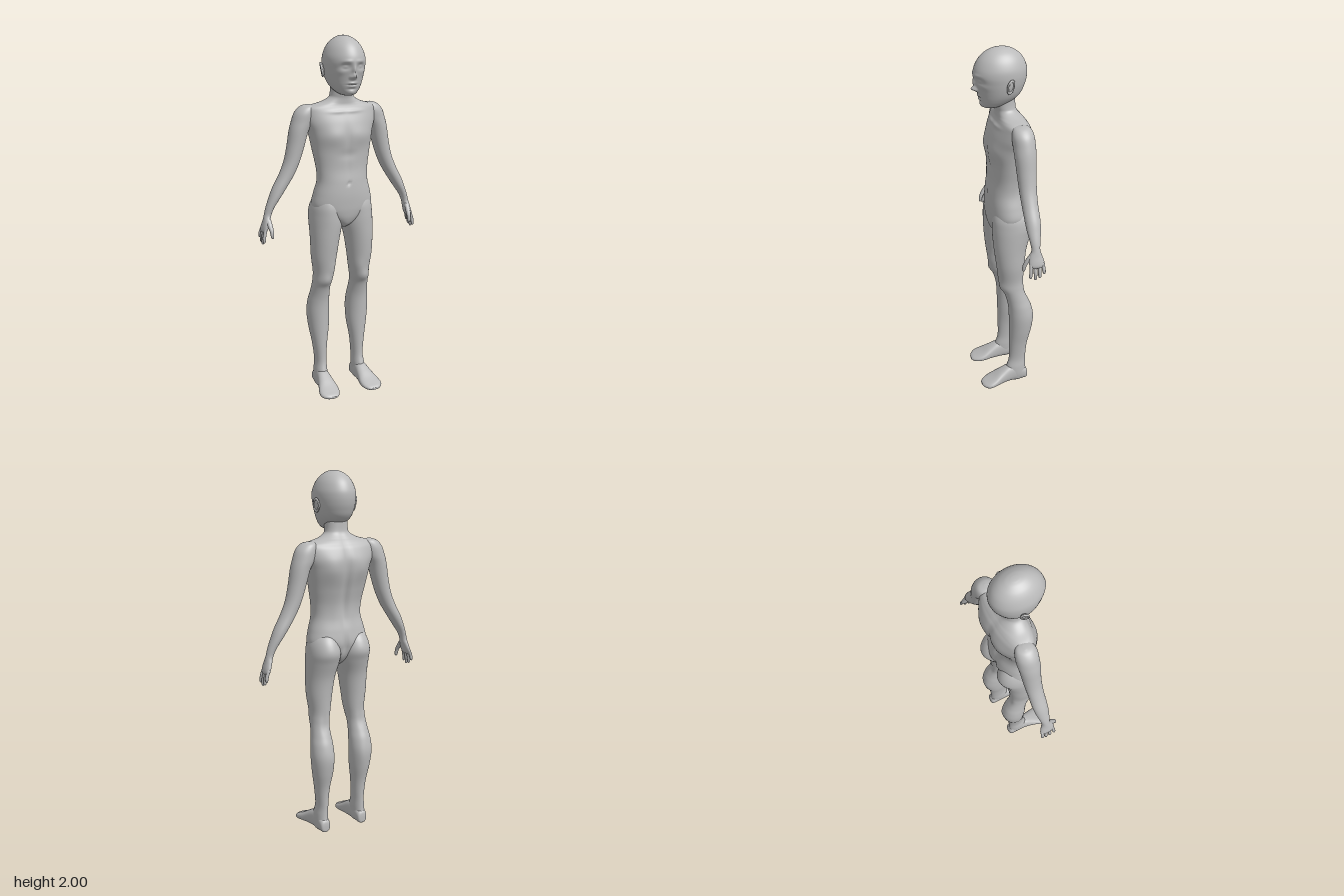
import * as THREE from 'three';

const skin = new THREE.MeshStandardMaterial({ color: 0xbababa });
skin.name = 'plain grey skin';

// Smooth curve through four values
function spline(a, b, c, d, t) {
  return 0.5 * (2 * b + (c - a) * t + (2 * a - 5 * b + 4 * c - d) * t * t + (3 * b - a - 3 * c + d) * t * t * t);
}

// Closed skin over level cross-sections, each row [y, xMin, xMax, zBack, zFront].
// Bumps [side, |x|, y, xSpread, ySpread, height] push the front (1) or back (-1) in or out.
function loft(rows, { n = 40, steps = 6, power = 2, bumps = [] } = {}) {
  rows = [...rows].sort((p, q) => p[0] - q[0]);
  const at = (i) => rows[Math.min(rows.length - 1, Math.max(0, i))];
  const rings = [];
  for (let i = 0; i < rows.length - 1; i++) {
    for (let k = 0; k < steps; k++) {
      rings.push(rows[i].map((_, c) => spline(at(i - 1)[c], at(i)[c], at(i + 1)[c], at(i + 2)[c], k / steps)));
    }
  }
  rings.push(at(rows.length));
  const pos = [], idx = [];
  const round = (v) => Math.sign(v) * Math.abs(v) ** (2 / power);
  for (const [y, x0, x1, z0, z1] of rings) {
    for (let j = 0; j < n; j++) {
      const a = (j / n) * Math.PI * 2, s = Math.sin(a);
      const x = (x0 + x1) / 2 + ((x1 - x0) / 2) * round(Math.cos(a));
      let z = (z0 + z1) / 2 + ((z1 - z0) / 2) * round(s);
      for (const [side, bx, by, sx, sy, h] of bumps) {
        if (s * side <= 0) continue;
        const g = ((Math.abs(x) - bx) / sx) ** 2 + ((y - by) / sy) ** 2;
        z += side * h * Math.exp(-g) * Math.min(1, Math.abs(s) * 2);
      }
      pos.push(x, y, z);
    }
  }
  for (let i = 0; i < rings.length - 1; i++) {
    for (let j = 0; j < n; j++) {
      const a = i * n + j, c = i * n + ((j + 1) % n);
      idx.push(a, a + n, c, a + n, c + n, c);
    }
  }
  // End caps
  for (const [ring, up] of [[0, false], [rings.length - 1, true]]) {
    const [y, x0, x1, z0, z1] = rings[ring], hub = pos.length / 3, o = ring * n;
    pos.push((x0 + x1) / 2, y, (z0 + z1) / 2);
    for (let j = 0; j < n; j++) {
      const a = o + j, b = o + ((j + 1) % n);
      if (up) idx.push(hub, b, a); else idx.push(hub, a, b);
    }
  }
  const g = new THREE.BufferGeometry();
  g.setAttribute('position', new THREE.Float32BufferAttribute(pos, 3));
  g.setIndex(idx);
  g.computeVertexNormals();
  return g;
}

const sym = (rows) => rows.map(([y, w, zb, zf]) => [y, -w, w, zb, zf]);
const flip = (rows, s) => (s > 0 ? rows : rows.map(([y, a, b, zb, zf]) => [y, -b, -a, zb, zf]));
const rod = (pts) => pts.map(([y, x, z, r]) => [y, x - r, x + r, z - r, z + r]);

// Half-width, back and front at each height
const TORSO = sym([
  [0.965, 0.012, -0.06, 0.02], [0.985, 0.04, -0.085, 0.055], [1.02, 0.1, -0.11, 0.073],
  [1.06, 0.155, -0.125, 0.081], [1.1, 0.174, -0.132, 0.084], [1.16, 0.163, -0.123, 0.085],
  [1.23, 0.145, -0.107, 0.08], [1.3, 0.148, -0.106, 0.071], [1.38, 0.162, -0.125, 0.072],
  [1.45, 0.174, -0.145, 0.077], [1.5, 0.184, -0.153, 0.075], [1.55, 0.2, -0.152, 0.065],
  [1.6, 0.206, -0.135, 0.046], [1.625, 0.2, -0.118, 0.035], [1.64, 0.165, -0.106, 0.03],
  [1.653, 0.115, -0.094, 0.029], [1.675, 0.074, -0.078, 0.03], [1.7, 0.064, -0.072, 0.035],
  [1.76, 0.062, -0.07, 0.04],
]);
const TORSO_BUMPS = [
  [1, 0.085, 1.475, 0.07, 0.045, 0.009], [1, 0, 1.46, 0.014, 0.08, -0.004],
  [1, 0, 1.22, 0.007, 0.009, -0.01], [1, 0, 1.31, 0.01, 0.09, -0.003],
  [1, 0.04, 1.605, 0.05, 0.009, 0.005], [1, 0, 1.375, 0.05, 0.025, -0.005],
  [-1, 0, 1.4, 0.018, 0.2, -0.014], [-1, 0.09, 1.5, 0.05, 0.06, 0.009],
  [-1, 0.045, 1.27, 0.03, 0.1, 0.004], [-1, 0, 1.08, 0.014, 0.05, -0.012],
];

const HEAD = sym([
  [1.692, 0.02, 0.04, 0.085], [1.7, 0.042, 0.0, 0.102], [1.72, 0.066, -0.045, 0.111],
  [1.745, 0.083, -0.082, 0.118], [1.77, 0.094, -0.104, 0.123], [1.8, 0.102, -0.118, 0.13],
  [1.83, 0.107, -0.128, 0.138], [1.865, 0.11, -0.133, 0.146], [1.9, 0.106, -0.13, 0.141],
  [1.94, 0.09, -0.113, 0.121], [1.97, 0.067, -0.086, 0.092], [1.99, 0.039, -0.053, 0.058],
  [1.998, 0.018, -0.025, 0.027], [2, 0.004, -0.006, 0.006],
]);
const HEAD_BUMPS = [
  [1, 0, 1.795, 0.012, 0.013, 0.028], [1, 0, 1.825, 0.01, 0.025, 0.013],
  [1, 0.014, 1.79, 0.007, 0.008, 0.01],
  [1, 0.042, 1.845, 0.022, 0.015, -0.014], [1, 0.042, 1.843, 0.014, 0.008, 0.009],
  [1, 0.042, 1.842, 0.014, 0.002, -0.002], [1, 0.035, 1.871, 0.025, 0.009, 0.004],
  [1, 0, 1.76, 0.022, 0.006, 0.006], [1, 0, 1.742, 0.019, 0.006, 0.005],
  [1, 0, 1.751, 0.025, 0.003, -0.005], [1, 0, 1.728, 0.025, 0.006, -0.004],
  [1, 0, 1.71, 0.022, 0.012, 0.005], [1, 0.065, 1.815, 0.02, 0.015, 0.003],
];

const LEG = [
  [1.15, 0.055, 0.12, -0.09, 0.03], [1.13, 0.025, 0.155, -0.118, 0.06],
  [1.09, 0.009, 0.174, -0.144, 0.074], [1.04, 0.003, 0.182, -0.156, 0.077],
  [0.985, 0.004, 0.184, -0.138, 0.076], [0.9, 0.022, 0.183, -0.112, 0.07],
  [0.8, 0.038, 0.18, -0.1, 0.058], [0.71, 0.051, 0.168, -0.095, 0.044],
  [0.66, 0.06, 0.168, -0.098, 0.036], [0.62, 0.065, 0.17, -0.104, 0.016],
  [0.57, 0.064, 0.175, -0.122, 0.001], [0.52, 0.06, 0.183, -0.141, -0.008],
  [0.45, 0.058, 0.187, -0.153, -0.012], [0.36, 0.062, 0.178, -0.143, -0.014],
  [0.26, 0.077, 0.161, -0.121, -0.015], [0.16, 0.085, 0.15, -0.113, -0.014],
  [0.1, 0.084, 0.156, -0.113, 0.002], [0.05, 0.087, 0.157, -0.116, 0.01],
  [0.01, 0.095, 0.15, -0.11, 0],
];
const LEG_BUMPS = [
  [1, 0.115, 0.67, 0.028, 0.035, 0.006], [1, 0.08, 0.73, 0.025, 0.04, 0.005],
  [-1, 0.115, 0.64, 0.02, 0.06, -0.006], [-1, 0.09, 0.44, 0.025, 0.07, 0.005],
];

// Foot sections from heel to toe: z, xMin, xMax, -top, -sole
const FOOT = [
  [-0.123, 0.108, 0.135, -0.045, -0.014], [-0.113, 0.092, 0.15, -0.075, -0.002],
  [-0.06, 0.086, 0.156, -0.11, 0], [-0.01, 0.083, 0.161, -0.108, 0],
  [0.04, 0.077, 0.173, -0.083, 0], [0.085, 0.071, 0.188, -0.056, 0],
  [0.12, 0.077, 0.19, -0.039, 0], [0.145, 0.093, 0.172, -0.028, -0.002],
  [0.158, 0.11, 0.145, -0.019, -0.008],
];

const ARM = [
  [1.642, 0.17, 0.195, -0.062, -0.048], [1.632, 0.145, 0.225, -0.095, -0.012],
  [1.6, 0.14, 0.257, -0.11, 0.002], [1.55, 0.155, 0.276, -0.114, 0.002],
  [1.5, 0.183, 0.289, -0.112, 0], [1.42, 0.207, 0.303, -0.107, -0.006],
  [1.34, 0.234, 0.322, -0.103, -0.011], [1.27, 0.267, 0.352, -0.1, -0.015],
  [1.2, 0.313, 0.39, -0.1, -0.018], [1.15, 0.348, 0.411, -0.095, -0.022],
  [1.1, 0.383, 0.43, -0.085, -0.03], [1.06, 0.401, 0.441, -0.08, -0.034],
  [1.03, 0.41, 0.448, -0.088, -0.022], [1.0, 0.42, 0.456, -0.097, -0.016],
  [0.98, 0.428, 0.459, -0.098, -0.018], [0.968, 0.437, 0.455, -0.09, -0.028],
];
// Finger: z at knuckle, z at tip, tip height
const FINGERS = [[-0.027, -0.02, 0.913], [-0.048, -0.046, 0.902], [-0.069, -0.07, 0.91], [-0.089, -0.093, 0.93]];

export function createModel() {
  const model = new THREE.Group();
  model.name = 'standingFigure';
  const add = (name, geometry, parent = model) => {
    const mesh = new THREE.Mesh(geometry, skin);
    mesh.name = name;
    parent.add(mesh);
    return mesh;
  };

  add('torsoAndNeck', loft(TORSO, { n: 96, steps: 8, power: 2.2, bumps: TORSO_BUMPS }));
  add('head', loft(HEAD, { n: 144, steps: 10, bumps: HEAD_BUMPS }));

  for (const s of [1, -1]) {
    const side = s > 0 ? 'left' : 'right';
    add(side + 'Leg', loft(flip(LEG, s), { n: 56, bumps: LEG_BUMPS }));
    add(side + 'Foot', loft(flip(FOOT, s), { n: 40, power: 2.4 }).rotateX(Math.PI / 2));
    add(side + 'Arm', loft(flip(ARM, s), { n: 44 }));

    // Hand digits
    const digits = new THREE.Group();
    digits.name = side + 'Fingers';
    model.add(digits);
    FINGERS.forEach(([z0, z1, tip], i) => {
      const mid = (0.99 + tip) / 2;
      const pts = [
        [0.995, 0.441, z0, 0.009], [mid, 0.453, (z0 + z1) / 2, 0.0095],
        [tip + 0.012, 0.456, z1, 0.008], [tip + 0.003, 0.456, z1, 0.005], [tip, 0.456, z1, 0.001],
      ];
      add('finger' + (i + 1), loft(flip(rod(pts), s), { n: 14, steps: 4 }), digits);
    });
    const thumb = [
      [1.045, 0.423, -0.042, 0.012], [1.01, 0.422, -0.019, 0.014], [0.98, 0.419, -0.001, 0.011],
      [0.955, 0.418, 0.005, 0.009], [0.945, 0.418, 0.006, 0.006], [0.941, 0.418, 0.006, 0.001],
    ];
    add('thumb', loft(flip(rod(thumb), s), { n: 16, steps: 4 }), digits);

    // Ear: shallow bowl with a raised rim
    const ear = new THREE.Group();
    ear.name = side + 'Ear';
    ear.position.set(s * 0.112, 1.825, -0.014);
    ear.rotation.set(-0.15, s * 0.35, s * -0.12);
    model.add(ear);
    add('earBowl', new THREE.SphereGeometry(1, 20, 14).scale(0.008, 0.035, 0.02), ear);
    const rim = new THREE.TorusGeometry(0.019, 0.0045, 10, 32).rotateY(Math.PI / 2).scale(1.2, 1.7, 0.95);
    add('earRim', rim, ear).position.x = s * 0.005;
  }
  return model;
}
